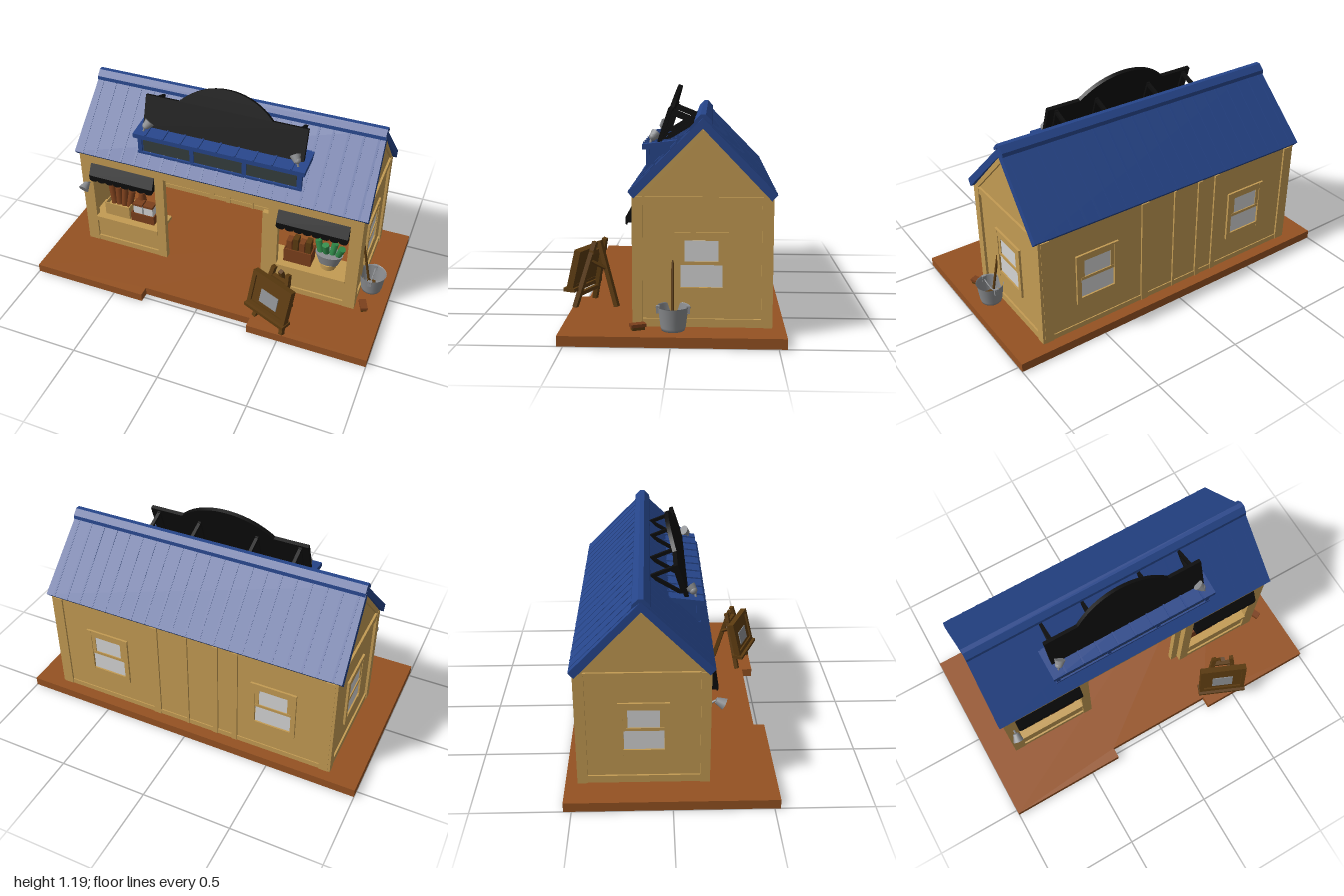
import * as THREE from 'three';

export function createModel() {
  const root = new THREE.Group();
  const mat = (name, color) => Object.assign(new THREE.MeshStandardMaterial({ color }), { name });
  const tan = mat('tan boards', 0xc39b53), blue = mat('blue roofing', 0x26458a), deckBrown = mat('deck brown', 0x955222);
  const black = mat('black', 0x0d0d0d), wood = mat('dark wood', 0x5c3b10), grey = mat('grey metal', 0x8b8d90);
  const white = mat('pale pane', 0xd4d4d4), green = mat('green', 0x2f8a48), glass = mat('dark glass', 0x343d3d);
  const rust = mat('baked brown', 0x7c401c);
  grey.side = THREE.DoubleSide;

  // Helpers
  const add = (name, geo, m, parent = root) => {
    const mesh = new THREE.Mesh(geo, m);
    mesh.name = name;
    parent.add(mesh);
    return mesh;
  };
  const group = (name, x, y, z, ry = 0, parent = root) => {
    const g = new THREE.Group();
    g.name = name;
    g.position.set(x, y, z);
    g.rotation.y = ry;
    parent.add(g);
    return g;
  };
  // Box given by its extents on each axis
  const box = (name, m, x0, x1, y0, y1, z0, z1, parent) => {
    const b = add(name, new THREE.BoxGeometry(x1 - x0, y1 - y0, z1 - z0), m, parent);
    b.position.set((x0 + x1) / 2, (y0 + y1) / 2, (z0 + z1) / 2);
    return b;
  };
  // Bar between two points; round when sides are given
  const bar = (name, m, a, b, w, d = w, sides = 0, parent = root) => {
    const p = new THREE.Vector3(...a), q = new THREE.Vector3(...b), len = p.distanceTo(q);
    const geo = sides ? new THREE.CylinderGeometry(w / 2, d / 2, len, sides) : new THREE.BoxGeometry(w, len, d);
    const mesh = add(name, geo, m, parent);
    mesh.position.copy(p).add(q).multiplyScalar(0.5);
    mesh.quaternion.setFromUnitVectors(new THREE.Vector3(0, 1, 0), q.sub(p).normalize());
    return mesh;
  };
  // Outline of [z, y] points extruded along x
  const profile = (name, m, pts, x0, x1, parent) => {
    const shape = new THREE.Shape(pts.map(p => new THREE.Vector2(...p)));
    const geo = new THREE.ExtrudeGeometry(shape, { depth: x1 - x0, bevelEnabled: false });
    geo.rotateY(-Math.PI / 2).translate(x1, 0, 0);
    return add(name, geo, m, parent);
  };

  // Deck with a notch at the front
  const deck = new THREE.Shape([[-1, 0.54], [1, 0.54], [1, -0.53], [0.32, -0.53], [0.32, -0.47],
    [-0.32, -0.47], [-0.32, -0.53], [-1, -0.53]].reverse().map(p => new THREE.Vector2(...p)));
  add('deck', new THREE.ExtrudeGeometry(deck, { depth: 0.05, bevelEnabled: false }).rotateX(-Math.PI / 2), deckBrown);

  // Sash window facing local +z, showing on both wall sides
  const sashWindow = (x, z, ry) => {
    const g = group('sashWindow', x, 0.36, z, ry);
    box('upperPane', white, -0.08, 0.08, 0.01, 0.11, -0.036, 0.004, g);
    box('lowerPane', white, -0.1, 0.1, -0.115, -0.005, -0.036, 0.003, g);
    for (const s of [-1, 1]) {
      box('sideFrame', tan, s * 0.115 - 0.013, s * 0.115 + 0.013, -0.15, 0.15, -0.005, 0.012, g);
      box('sashStile', tan, s * 0.091 - 0.011, s * 0.091 + 0.011, 0, 0.12, -0.005, 0.008, g);
    }
    box('headFrame', tan, -0.115, 0.115, 0.112, 0.15, -0.005, 0.011, g);
    box('sillFrame', tan, -0.115, 0.115, -0.15, -0.116, -0.005, 0.011, g);
    box('meetingRail', tan, -0.1, 0.1, -0.006, 0.01, -0.005, 0.01, g);
  };

  // End walls with gables, trim boards and windows
  for (const s of [-1, 1]) {
    const xo = s * 0.825;
    const span = (a, b) => [Math.min(a, b), Math.max(a, b)];
    profile('endWall', tan, [[0.18, 0.05], [0.18, 0.68], [-0.145, 1.01], [-0.47, 0.68], [-0.47, 0.05]].reverse(),
      ...span(xo, xo - s * 0.03));
    const trim = span(xo, xo + s * 0.014);
    box('frontCornerPost', tan, ...trim, 0.05, 0.68, 0.14, 0.19);
    box('backCornerPost', tan, ...trim, 0.05, 0.68, -0.478, -0.425);
    box('endBaseboard', tan, ...span(xo, xo + s * 0.01), 0.05, 0.09, -0.43, 0.14);
    box('gableBeam', tan, ...span(xo, xo + s * 0.012), 0.64, 0.68, -0.43, 0.15);
    for (const [z, y] of [[0.17, 0.69], [-0.46, 0.69]])
      bar('rakeBoard', tan, [xo + s * 0.005, y - 0.01, z], [xo + s * 0.005, 0.99, -0.145], 0.014, 0.04);
    sashWindow(xo, -0.14, s * Math.PI / 2);
  }

  // Back wall with battens and windows
  box('backWall', tan, -0.82, 0.82, 0.05, 0.69, -0.47, -0.44);
  for (const [x, w] of [[-0.8, 0.05], [-0.28, 0.03], [-0.165, 0.03], [0.005, 0.012], [0.2, 0.045], [0.8, 0.05]])
    box('backBatten', tan, x - w / 2, x + w / 2, 0.05, 0.67, -0.48, -0.43);
  box('backBaseboard', tan, -0.82, 0.82, 0.05, 0.08, -0.476, -0.436);
  for (const x of [-0.5, 0.5]) sashWindow(x, -0.47, Math.PI);

  // Front wall: two shop openings beside a wide entrance
  box('frontBeam', tan, -0.835, 0.835, 0.635, 0.69, 0.155, 0.19);
  for (const s of [-1, 1]) {
    const g = group('shopFront', s * 0.57, 0, 0);
    for (const [a, b] of [[-0.26, -0.2], [0.2, 0.255]])
      box('shopPost', tan, s > 0 ? -b : a, s > 0 ? -a : b, 0.05, 0.64, 0.155, 0.19, g);
    box('lowerPanel', tan, -0.2, 0.2, 0.05, 0.215, 0.155, 0.178, g);
    box('frontBaseboard', tan, -0.2, 0.2, 0.05, 0.085, 0.16, 0.188, g);
    box('shopSill', tan, -0.2, 0.2, 0.21, 0.24, 0.15, 0.196, g);
    box('displayShelf', tan, -0.24, 0.22, 0.22, 0.24, 0.03, 0.16, g);
    profile('awning', black, [[0.19, 0.635], [0.226, 0.57], [0.226, 0.545], [0.19, 0.545]].reverse(), -0.2, 0.2, g);
    for (let i = 0; i < 8; i++) {
      const c = add('awningScallop', new THREE.CylinderGeometry(0.025, 0.025, 0.006, 12), black, g);
      c.rotation.x = Math.PI / 2;
      c.scale.z = 0.6;
      c.position.set(-0.175 + i * 0.05, 0.545, 0.2225);
    }
  }
  box('doorPost', tan, 0.27, 0.31, 0.05, 0.56, 0.13, 0.16);

  // Roof, slightly wider at the eaves than at the ridge
  const roof = profile('roof', blue, [[0.18, 0.675], [0.207, 0.705], [-0.145, 1.05], [-0.495, 0.695], [-0.468, 0.665],
    [-0.145, 1.0]], -0.86, 0.86);
  const rp = roof.geometry.attributes.position;
  for (let i = 0; i < rp.count; i++) rp.setX(i, rp.getX(i) * (1 - 0.06 * (rp.getY(i) - 0.68)));
  roof.geometry.computeVertexNormals();
  profile('ridgeCap', blue, [[-0.1, 1.015], [-0.103, 1.035], [-0.132, 1.065], [-0.158, 1.065], [-0.187, 1.035],
    [-0.19, 1.015], [-0.145, 1.05]], -0.842, 0.842);
  for (let i = -10; i <= 10; i++) {
    const x = i * 0.081;
    bar('roofRib', blue, [x, 0.704, 0.206], [x, 1.05, -0.145], 0.012, 0.006);
    bar('roofRib', blue, [x, 0.694, -0.494], [x, 1.05, -0.145], 0.012, 0.006);
  }

  // Dormer with three dark panes
  const dormer = group('dormer', 0, 0, 0);
  profile('dormerBody', blue, [[0.14, 0.76], [0.14, 0.88], [-0.01, 0.9]], -0.46, 0.46, dormer);
  profile('dormerRoof', blue, [[0.168, 0.868], [0.168, 0.895], [-0.02, 0.918], [-0.02, 0.89]], -0.495, 0.495, dormer);
  box('dormerSill', blue, -0.48, 0.48, 0.755, 0.772, 0.13, 0.152, dormer);
  for (const x of [-0.305, 0, 0.305]) box('dormerPane', glass, x - 0.142, x + 0.142, 0.775, 0.848, 0.137, 0.143, dormer);
  for (const x of [-0.465, -0.153, 0.153, 0.465])
    box('dormerMullion', blue, x - 0.012, x + 0.012, 0.765, 0.87, 0.13, 0.149, dormer);
  for (let i = -4; i <= 4; i++)
    bar('dormerRib', blue, [i * 0.105, 0.897, 0.168], [i * 0.105, 0.92, -0.02], 0.01, 0.01, 0, dormer);

  // Blank sign board with an arched top, leaning back on braces
  const board = new THREE.Shape();
  const a0 = Math.atan2(0.259, 0.27);
  board.moveTo(-0.465, 0).lineTo(0.465, 0).lineTo(0.465, 0.18).lineTo(0.27, 0.18);
  board.absarc(0, -0.079, 0.374, a0, Math.PI - a0, false);
  board.lineTo(-0.465, 0.18);
  const sign = add('signBoard', new THREE.ExtrudeGeometry(board, { depth: 0.022, bevelEnabled: false, curveSegments: 24 }), black);
  sign.position.set(0, 0.9, 0.072);
  sign.rotation.x = -0.32;
  for (const x of [-0.42, -0.175, 0.165, 0.415]) {
    bar('signUpright', black, [x, 0.9, 0.07], [x, 1.06, 0.018], 0.018);
    bar('signTopBrace', black, [x, 1.05, 0.025], [x, 1.0, -0.1], 0.018);
    bar('signLowBrace', black, [x, 0.91, 0.06], [x, 1.0, -0.09], 0.018);
  }

  // Lamps: shade pointing along a direction, on a short arm
  const lamp = (name, p, dir, from) => {
    const q = p.map((v, i) => v + dir[i]);
    bar('lampArm', grey, from, p, 0.012, 0.012, 8);
    const shade = bar(name, grey, p, q, 0.06, 0.032, 14);
    return shade;
  };
  lamp('wallLamp', [-0.795, 0.5, 0.215], [-0.005, -0.02, 0.04], [-0.795, 0.485, 0.19]);
  for (const s of [-1, 1]) {
    lamp('signLamp', [s * 0.44, 0.92, 0.125], [-s * 0.02, 0.025, -0.025], [s * 0.45, 0.89, 0.13]);
    add('signLampBulb', new THREE.SphereGeometry(0.02, 12, 8), grey).position.set(s * 0.437, 0.928, 0.116);
  }

  // Left display: bread crate, basket of pale jars and a small plant
  const crate = (name, m, x0, x1, y1) => {
    box(name, m, x0, x1, 0.24, y1 - 0.03, 0.06, 0.15);
    for (const z of [0.06, 0.144]) box(name + 'Side', m, x0, x1, y1 - 0.03, y1, z, z + 0.006);
    for (const x of [x0, x1 - 0.006]) box(name + 'End', m, x, x + 0.006, y1 - 0.03, y1, 0.06, 0.15);
  };
  crate('breadCrate', tan, -0.73, -0.57, 0.325);
  for (let i = 0; i < 4; i++)
    bar('loaf', rust, [-0.69 + i * 0.033, 0.3, 0.1], [-0.715 + i * 0.046, 0.42 - (i % 2) * 0.015, 0.08], 0.04, 0.04, 10);
  crate('jarBasket', rust, -0.56, -0.41, 0.3);
  for (const x of [-0.52, -0.452]) {
    box('jar', white, x - 0.028, x + 0.028, 0.275, 0.345, 0.085, 0.135);
    box('jarLid', rust, x - 0.03, x + 0.03, 0.345, 0.36, 0.083, 0.137);
  }
  bar('plantPot', rust, [-0.52, 0.4, 0.07], [-0.52, 0.345, 0.07], 0.055, 0.035, 12);
  for (const s of [-1, 1]) {
    bar('plantStem', green, [-0.52, 0.395, 0.07], [-0.52 + s * 0.018, 0.44, 0.07], 0.007);
    bar('plantLeaf', green, [-0.52 + s * 0.018, 0.44, 0.07], [-0.52 + s * 0.045, 0.425, 0.07], 0.016, 0.006);
  }

  // Right display: brown goods crate and a bowl of greens
  crate('goodsCrate', rust, 0.4, 0.56, 0.33);
  for (let i = 0; i < 4; i++) box('parcel', i % 2 ? wood : rust, 0.408 + i * 0.037, 0.438 + i * 0.037, 0.3, 0.375 + (i % 2) * 0.02, 0.08, 0.13);
  const bowl = add('bowl', new THREE.CylinderGeometry(0.08, 0.055, 0.07, 18), grey);
  bowl.position.set(0.65, 0.3, 0.1);
  bowl.scale.z = 0.65;
  bar('bowlStand', tan, [0.65, 0.24, 0.1], [0.65, 0.27, 0.1], 0.09, 0.09, 12);
  for (let i = 0; i < 4; i++)
    bar('greenVegetable', green, [0.6 + i * 0.033, 0.325, 0.1], [0.58 + i * 0.048, 0.4, 0.085 + (i % 2) * 0.03], 0.04, 0.034, 10);

  // Easel at the entrance
  const easel = group('easel', 0.44, 0.05, 0.45, -0.4);
  for (const s of [-1, 1]) {
    bar('easelFrontLeg', wood, [s * 0.1, 0, 0.03], [s * 0.05, 0.345, -0.065], 0.024, 0.024, 0, easel);
    bar('easelStay', wood, [s * 0.06, 0.245, -0.04], [s * 0.01, 0.2, -0.1], 0.014, 0.014, 0, easel);
  }
  bar('easelRearLeg', wood, [0, 0, -0.16], [0, 0.34, -0.06], 0.024, 0.024, 0, easel);
  box('easelTopBar', wood, -0.07, 0.07, 0.28, 0.3, -0.065, -0.04, easel);
  box('easelLowBar', wood, -0.1, 0.1, 0.06, 0.08, 0, 0.02, easel);
  box('easelLedge', wood, -0.14, 0.14, 0.088, 0.108, 0.01, 0.075, easel);
  const panel = group('easelBoard', 0, 0.205, 0.012, 0, easel);
  panel.rotation.x = -0.25;
  box('boardPanel', wood, -0.13, 0.13, -0.1, 0.1, -0.012, 0.012, panel);
  box('boardNote', grey, -0.06, 0.06, -0.06, 0.02, 0.012, 0.017, panel);
  for (const s of [-1, 1]) {
    box('boardRim', wood, -0.135, 0.135, s * 0.093 - 0.012, s * 0.093 + 0.012, -0.014, 0.022, panel);
    box('boardRim', wood, s * 0.123 - 0.012, s * 0.123 + 0.012, -0.1, 0.1, -0.014, 0.022, panel);
  }

  // Bucket, broom and brush beside the end wall
  const bucket = group('bucket', 0.89, 0.05, -0.008);
  add('bucketShell', new THREE.LatheGeometry([[0, 0.004], [0.055, 0.004], [0.06, 0.02], [0.072, 0.115], [0.077, 0.12]]
    .map(p => new THREE.Vector2(...p)), 24), grey, bucket);
  const handle = add('bucketHandle', new THREE.TorusGeometry(0.08, 0.004, 6, 20, Math.PI), grey, bucket);
  handle.position.y = 0.115;
  handle.rotation.set(0, Math.PI / 2, 0);
  handle.scale.y = -0.35;
  for (const s of [-1, 1]) box('bucketLug', grey, -0.012, 0.012, 0.085, 0.12, s * 0.072 - 0.008, s * 0.072 + 0.008, bucket);
  bar('broomHandle', wood, [0.88, 0.07, -0.005], [0.815, 0.39, -0.003], 0.014, 0.014, 10);
  box('broomHead', wood, 0.86, 0.905, 0.06, 0.09, -0.04, 0.03);
  const brush = group('scrubBrush', 0.885, 0.05, 0.16, 0.4);
  box('brushBristles', wood, -0.016, 0.016, 0, 0.015, -0.032, 0.032, brush);
  box('brushBack', rust, -0.02, 0.02, 0.015, 0.03, -0.037, 0.037, brush);

  return root;
}
